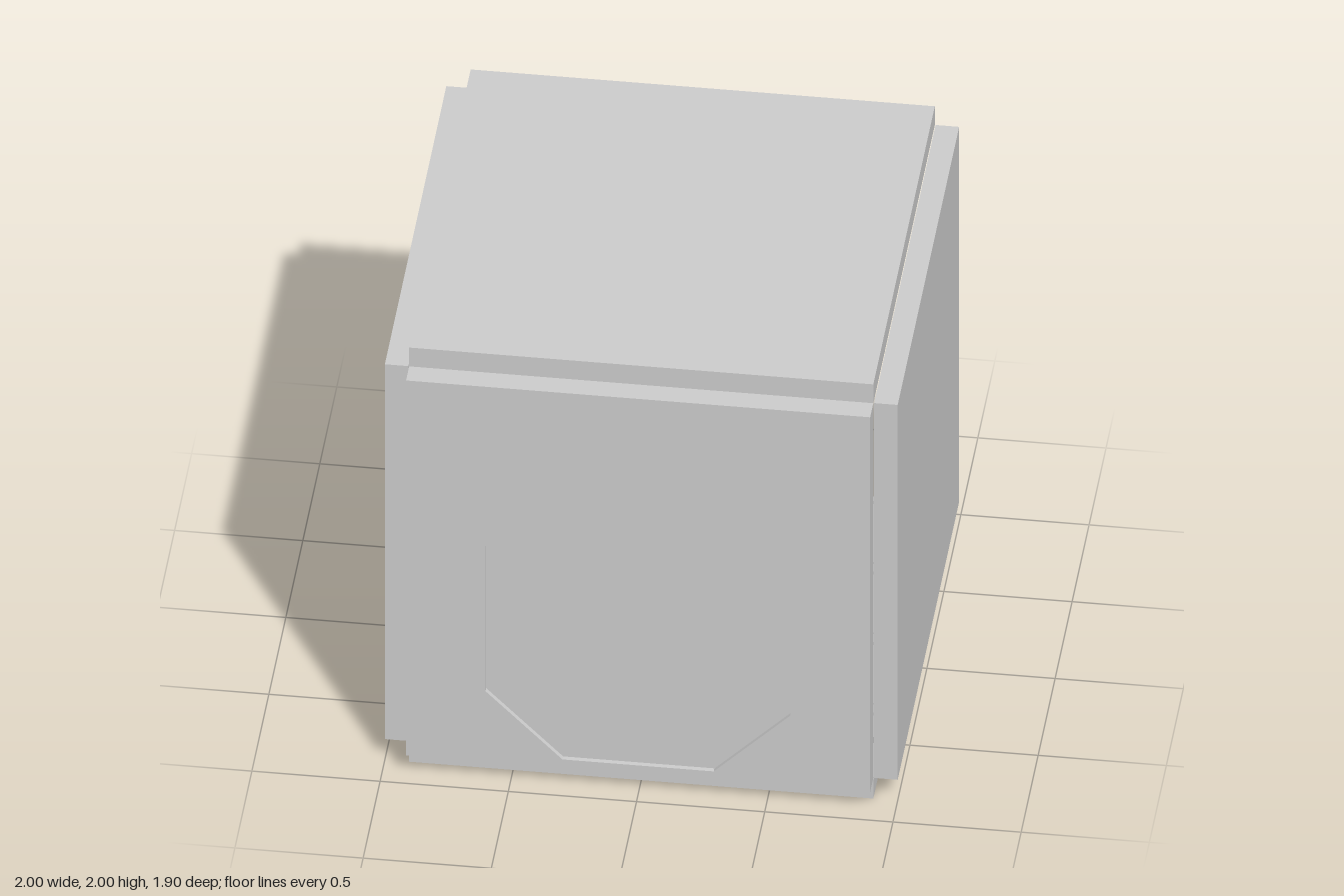
import * as THREE from 'three';

const HALF = 0.905, BASE = 0.06, THICK = 0.092, MID = -0.045;
const mat = new THREE.MeshStandardMaterial({ color: 0xcccccc, flatShading: true, side: THREE.DoubleSide });

const toShape = (pts, holes = []) => {
  const s = new THREE.Shape(pts.map(([x, y]) => new THREE.Vector2(x, y)));
  s.holes = holes.map((h) => new THREE.Path(h.map(([x, y]) => new THREE.Vector2(x, y))));
  return s;
};

const rect = (cx, cy, w, h) => [
  [cx - w / 2, cy - h / 2], [cx + w / 2, cy - h / 2],
  [cx + w / 2, cy + h / 2], [cx - w / 2, cy + h / 2],
];

const mirror = (pts) => pts.map(([x, y]) => [-x, y]).reverse();

// shrink an outline by a margin, measured on its bounding box
const shrink = (pts, m) => {
  const box = new THREE.Box2().setFromPoints(pts.map(([x, y]) => new THREE.Vector2(x, y)));
  const c = box.getCenter(new THREE.Vector2()), s = box.getSize(new THREE.Vector2());
  return pts.map(([x, y]) => [c.x + (x - c.x) * (1 - 2 * m / s.x), c.y + (y - c.y) * (1 - 2 * m / s.y)]);
};

function plate(name, pts, holes, z0, z1) {
  const geo = new THREE.ExtrudeGeometry(toShape(pts, holes), { depth: z1 - z0, bevelEnabled: false });
  const mesh = new THREE.Mesh(geo, mat);
  mesh.name = name;
  mesh.position.z = z0;
  return mesh;
}

// slab with its outer side at z = 0 and its panelled inner side at z = THICK
function panelledSlab(name, insets, { through = [], reliefOnly = [] } = {}) {
  const g = new THREE.Group();
  g.name = name;
  const outline = rect(0, 0, 2 * HALF, 2 * HALF);
  g.add(plate(name + 'Base', outline, through, 0, BASE));
  g.add(plate(name + 'Relief', outline, [...insets.map((i) => i.pts), ...reliefOnly], BASE, THICK));
  for (const { name: n, pts, gap = 0.02, top = THICK - 0.01 } of insets) {
    g.add(plate(n, shrink(pts, gap), [], BASE, top));
  }
  return g;
}

// heights are given from the ground; slabs are centred on y = 1.005
const CY = 1.005;
const lift = (pts) => pts.map(([x, y]) => [x, y - CY]);

function sideWall(name, front) {
  const insets = [];
  // columns of small blocks at both ends
  for (const s of [-1, 1]) {
    for (let i = 0; i < 7; i++) {
      insets.push({ name: 'columnBlock', pts: rect(s * 0.8, (i - 3) * 0.25, 0.12, i % 2 ? 0.16 : 0.21), gap: 0.015 });
    }
  }
  // bevelled brackets beside the main panel
  const bracket = lift([[0.67, 0.55], [0.67, 1.35], [0.6, 1.35], [0.52, 1.25], [0.52, 0.65], [0.6, 0.55]]);
  insets.push({ name: 'sideBracket', pts: bracket }, { name: 'sideBracket', pts: mirror(bracket) });
  // main panel, notched around the brackets
  const half = lift([[0.6, 0.4], [0.67, 0.46], [0.67, 0.51], [0.58, 0.51], [0.48, 0.63],
    [0.48, 1.27], [0.58, 1.39], [0.67, 1.39], [0.67, 1.58], [0.6, 1.64]]);
  insets.push({ name: 'mainPanel', pts: [...half, ...mirror(half)], gap: 0.012, top: THICK - 0.004 });
  // long low slot and short high slot
  insets.push({ name: 'lowSlot', pts: lift(rect(0, 0.275, 1.18, 0.12)), gap: 0.025 });
  insets.push({ name: 'highSlot', pts: lift(rect(front * 0.3, 1.735, 0.6, 0.12)), gap: 0.025 });
  return panelledSlab(name, insets);
}

function frontWall() {
  const octagon = (d) => {
    const w = 0.595 + d, h = 0.65 + d, c = 0.3 + d * 0.586;
    return lift([[w, 0.79 - h + c], [w, 0.79 + h - c], [w - c, 0.79 + h], [c - w, 0.79 + h],
      [-w, 0.79 + h - c], [-w, 0.79 - h + c], [c - w, 0.79 - h], [w - c, 0.79 - h]]);
  };
  const insets = [{ name: 'lintelSlot', pts: lift(rect(0, 1.69, 1.26, 0.12)), gap: 0.025 }];
  for (const s of [-1, 1]) {
    insets.push({ name: 'jambSlot', pts: lift(rect(s * 0.79, 0.925, 0.12, 1.15)), gap: 0.025 });
  }
  const g = panelledSlab('frontWall', insets, { through: [octagon(0)], reliefOnly: [octagon(0.035)] });
  // recessed door closing the opening
  g.add(plate('door', octagon(0), [], 0.02, 0.04));
  g.add(plate('doorFrame', octagon(0), [octagon(-0.035)], 0.04, 0.05));
  return g;
}

function floorSlab() {
  const insets = [];
  for (const x of [-0.7, -0.3, 0.3, 0.7]) {
    for (let r = 0; r < 4; r++) {
      insets.push({ name: 'floorTile', pts: rect(x, (r - 1.5) * 0.45, 0.37, 0.4), gap: 0.015, top: THICK - 0.003 });
    }
  }
  return panelledSlab('floor', insets);
}

function ceilingSlab() {
  const insets = [];
  for (let i = 0; i < 4; i++) {
    for (let j = 0; j < 4; j++) {
      insets.push({ name: 'ceilingTile', pts: rect((i - 1.5) * 0.37, (j - 1.5) * 0.37, 0.33, 0.33), gap: 0.015 });
    }
  }
  // pairs of long slots around the border
  for (const a of [-1, 1]) {
    for (const b of [-1, 1]) {
      insets.push({ name: 'borderSlot', pts: rect(a * 0.39, b * 0.81, 0.64, 0.09), top: BASE + 0.005 });
      insets.push({ name: 'borderSlot', pts: rect(b * 0.81, a * 0.39, 0.09, 0.64), top: BASE + 0.005 });
    }
  }
  return panelledSlab('ceiling', insets);
}

export function createModel() {
  const room = new THREE.Group();
  room.name = 'room';
  const place = (slab, pos, rx, ry) => {
    slab.position.set(...pos);
    slab.rotation.set(rx, ry, 0);
    room.add(slab);
  };
  const q = Math.PI / 2;
  place(floorSlab(), [0, 0, MID], -q, 0);
  place(ceilingSlab(), [0, 2, MID], q, 0);
  place(sideWall('leftWall', 1), [1, CY, MID], 0, -q);
  place(sideWall('rightWall', -1), [-1, CY, MID], 0, q);
  place(frontWall(), [0, CY, 0.953], 0, Math.PI);
  return room;
}
